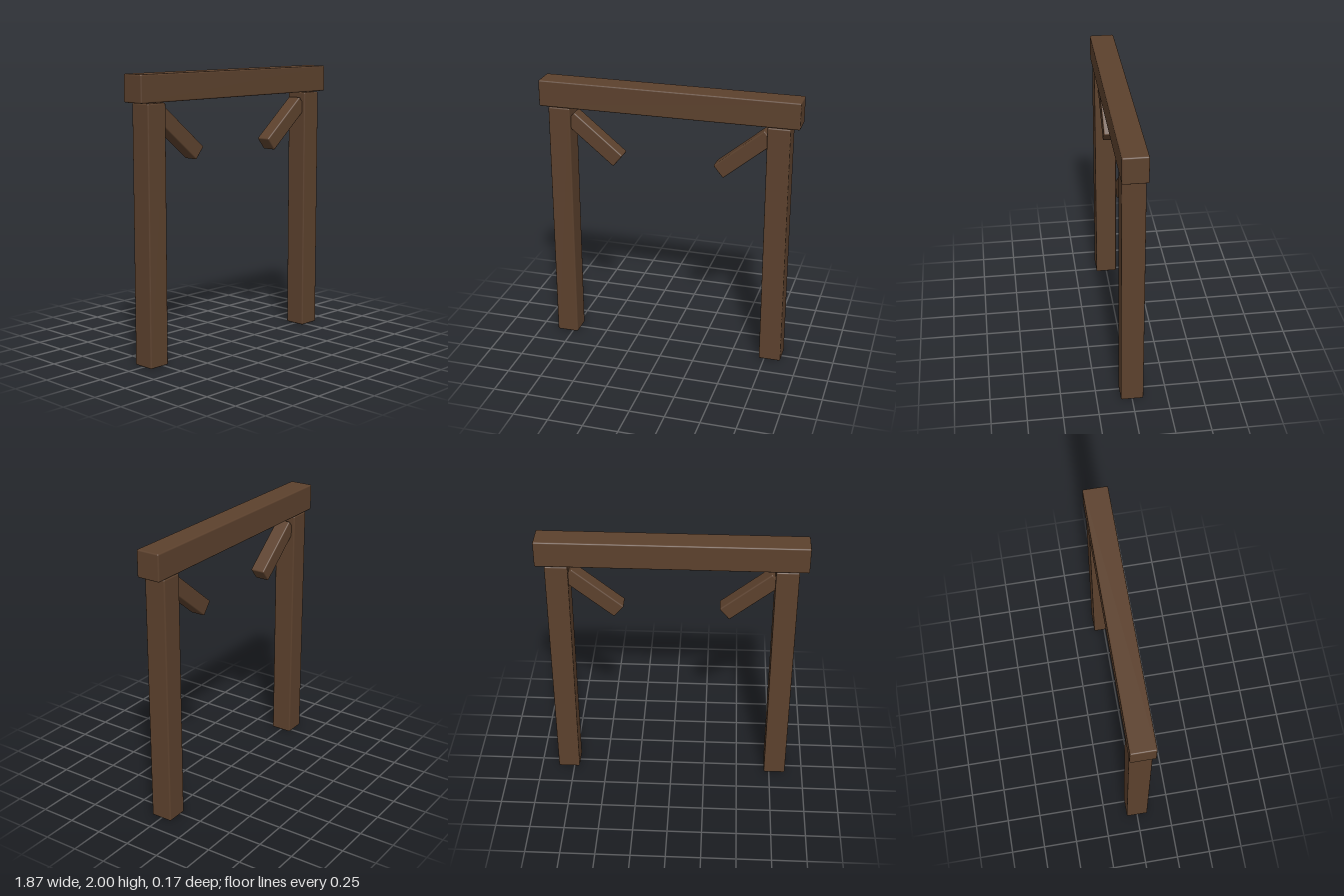
import * as THREE from 'three';
import { RoundedBoxGeometry } from 'three/addons/geometries/RoundedBoxGeometry.js';

export function createModel() {
  const group = new THREE.Group();
  group.name = 'timberFrame';

  const wood = new THREE.MeshStandardMaterial({ color: 0x5c412d });
  wood.name = 'dark wood';

  // Squared timber with slightly eased edges
  function timber(name, width, height, depth, x, y, tilt = 0) {
    const mesh = new THREE.Mesh(new RoundedBoxGeometry(width, height, depth, 2, 0.01), wood);
    mesh.name = name;
    mesh.position.set(x, y, 0);
    mesh.rotation.z = tilt;
    group.add(mesh);
  }

  // Lintel across the top
  timber('topBeam', 1.87, 0.19, 0.175, 0, 1.905);

  // Mirrored posts and the diagonal braces set into their inner faces
  for (const [side, s] of [['left', 1], ['right', -1]]) {
    timber(side + 'Post', 0.16, 1.806, 0.16, s * 0.79, 0.903);
    timber(side + 'Brace', 0.46, 0.112, 0.11, s * 0.545, 1.583, s * THREE.MathUtils.degToRad(39.5));
  }

  return group;
}
